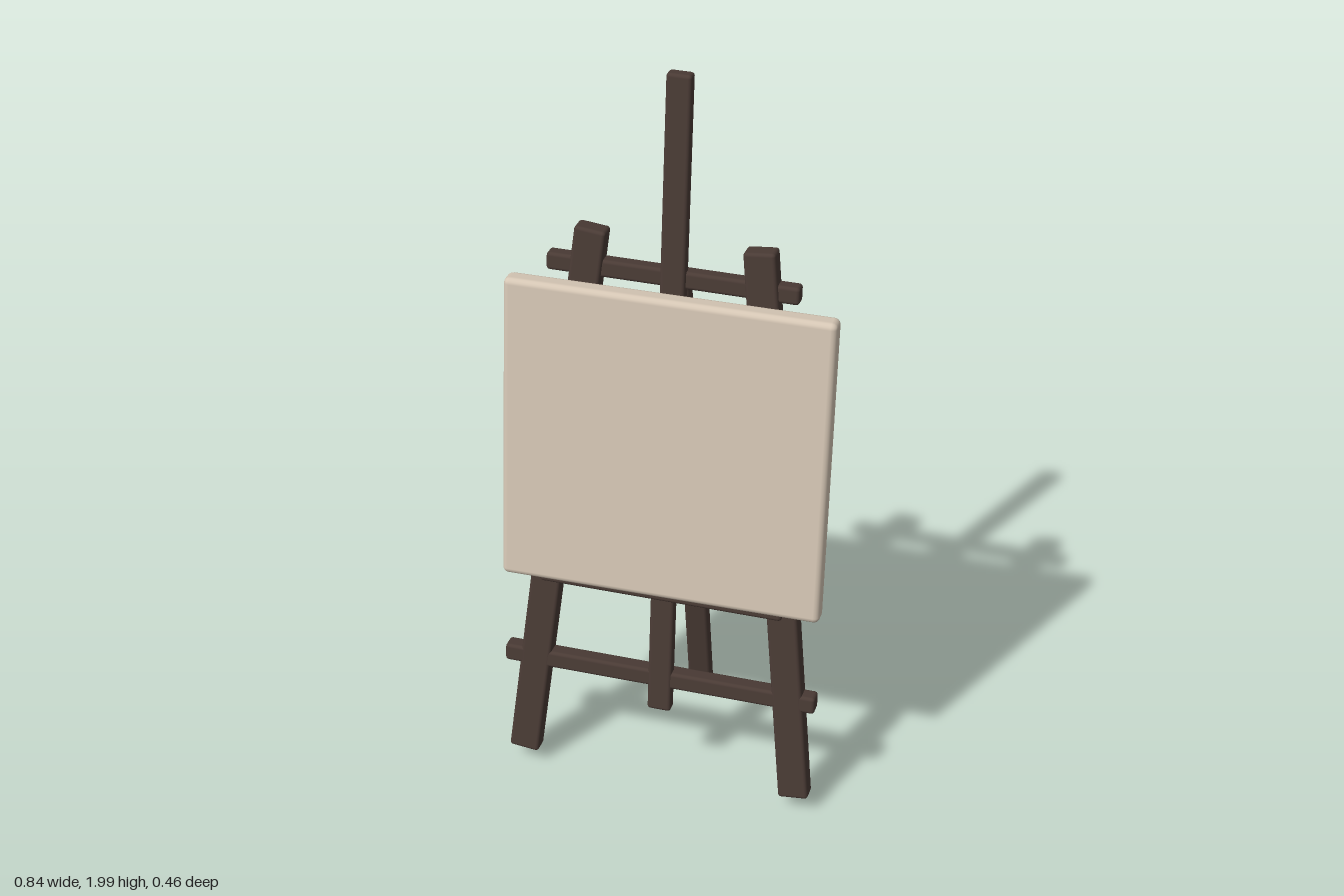
import * as THREE from 'three';
import { RoundedBoxGeometry } from 'three/addons/geometries/RoundedBoxGeometry.js';

const LEAN = 0.114; // backward lean of the front frame

export function createModel() {
  const model = new THREE.Group();
  model.name = 'easel';
  const wood = new THREE.MeshStandardMaterial({ color: 0x4a3b35 });
  const cloth = new THREE.MeshStandardMaterial({ color: 0xd6c7b5 });

  // Box with softened edges
  const block = (name, w, h, d, radius, material) => {
    const mesh = new THREE.Mesh(new RoundedBoxGeometry(w, h, d, 2, radius), material);
    mesh.name = name;
    model.add(mesh);
    return mesh;
  };

  // Wooden beam running between two points, its width kept along x
  const beam = (name, from, to, w, d) => {
    const a = new THREE.Vector3(...from), b = new THREE.Vector3(...to);
    const mesh = block(name, w, a.distanceTo(b), d, 0.009, wood);
    const up = b.clone().sub(a).normalize();
    const front = new THREE.Vector3(1, 0, 0).cross(up).normalize();
    const side = up.clone().cross(front);
    mesh.quaternion.setFromRotationMatrix(new THREE.Matrix4().makeBasis(side, up, front));
    mesh.position.copy(a).add(b).multiplyScalar(0.5);
  };

  // Horizontal rail, tilted with the frame
  const rail = (name, x, y, z, w, h, d) => {
    const mesh = block(name, w, h, d, 0.009, wood);
    mesh.position.set(x, y, z);
    mesh.rotation.x = -LEAN;
  };

  // Splayed front legs
  for (const [label, s] of [['left', 1], ['right', -1]]) {
    beam(label + 'FrontLeg', [s * 0.37, 0.05, 0.208], [s * 0.21, 1.578, 0.038], 0.08, 0.052);
  }

  // Central mast and rear leg
  beam('mast', [0, 0.25, 0.196], [0, 2, 0], 0.063, 0.036);
  beam('rearLeg', [0, 0.008, -0.214], [0, 1.462, 0.022], 0.063, 0.036);

  // Rails and the ledge the canvas stands on
  rail('upperRail', -0.005, 1.475, 0.046, 0.635, 0.046, 0.04);
  rail('lowerRail', -0.005, 0.342, 0.178, 0.835, 0.048, 0.046);
  rail('ledge', 0, 0.618, 0.168, 0.64, 0.036, 0.07);

  // Canvas, turned very slightly on its ledge
  const canvas = block('canvas', 0.832, 0.832, 0.055, 0.016, cloth);
  canvas.position.set(0.003, 1.035, 0.147);
  canvas.rotation.set(-LEAN, 0.013, 0);

  return model;
}
